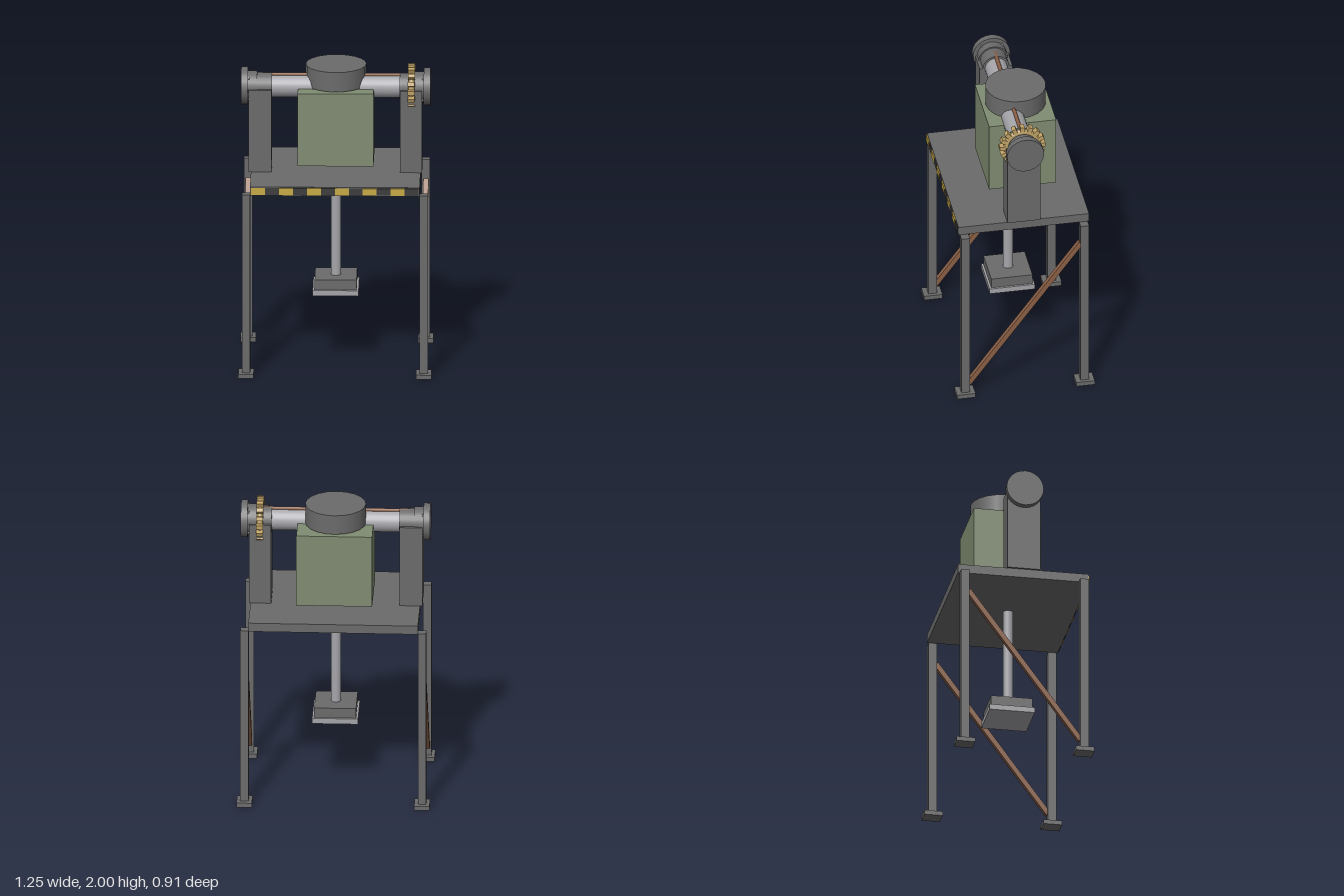
import * as THREE from 'three';

const mat = (name, color) => {
  const m = new THREE.MeshStandardMaterial({ color });
  m.name = name;
  return m;
};

export function createModel() {
  const iron = mat('dark iron', 0x6b6b6b);
  const steel = mat('light steel', 0xa6a6ab);
  const green = mat('painted green', 0x808c72);
  const copper = mat('copper brown', 0x8c6046);
  const brass = mat('brass', 0xbfa266);
  const yellow = mat('hazard yellow', 0xc9aa45);
  const black = mat('hazard black', 0x3c3c3c);

  const model = new THREE.Group();
  model.name = 'pressMachine';

  const add = (name, geometry, material, x, y, z, parent = model) => {
    const mesh = new THREE.Mesh(geometry, material);
    mesh.name = name;
    mesh.position.set(x, y, z);
    parent.add(mesh);
    return mesh;
  };
  // Box given by its limits on each axis
  const box = (name, material, [x0, x1], [y0, y1], [z0, z1]) =>
    add(name, new THREE.BoxGeometry(x1 - x0, y1 - y0, z1 - z0), material,
      (x0 + x1) / 2, (y0 + y1) / 2, (z0 + z1) / 2);
  // Cylinder lying along x
  const rod = (name, material, x0, x1, r, y, z, sides = 24) =>
    add(name, new THREE.CylinderGeometry(r, r, Math.abs(x1 - x0), sides).rotateZ(Math.PI / 2),
      material, (x0 + x1) / 2, y, z);

  const axisY = 1.85;

  // Legs, feet and diagonal side braces
  for (const sx of [-1, 1]) {
    const x = sx * 0.576;
    for (const sz of [-1, 1]) {
      const z = sz * 0.393;
      box('leg', iron, [x - 0.027, x + 0.027], [0.03, 1.238], [z - 0.028, z + 0.028]);
      box('foot', iron, [x - 0.05, x + 0.05], [0, 0.03], [z - 0.061, z + 0.061]);
    }
    const dy = 1.01, dz = -0.74;
    const brace = add('sideBrace', new THREE.BoxGeometry(0.033, Math.hypot(dy, dz), 0.033),
      copper, x, 0.595, 0);
    brace.rotation.x = Math.atan2(dz, dy);
  }

  // Deck with a hazard strip along its front edge
  box('deck', iron, [-0.55, 0.55], [1.238, 1.297], [-0.431, 0.43]);
  for (let i = 0; i < 12; i++) {
    const x = -0.543 + i * 0.0905;
    box('hazardStripe', i % 2 ? black : yellow, [x, x + 0.0905], [1.244, 1.291],
      [0.43, i % 2 ? 0.436 : 0.438]);
  }

  // Ram below the deck
  add('ramRod', new THREE.CylinderGeometry(0.034, 0.034, 0.69, 16), steel, 0, 0.9, 0);
  box('ramHead', iron, [-0.136, 0.136], [0.505, 0.573], [-0.136, 0.136]);
  box('ramPlate', steel, [-0.149, 0.149], [0.468, 0.505], [-0.149, 0.149]);

  // Main housing and round cap
  box('housing', green, [-0.246, 0.246], [1.358, 1.85], [-0.271, 0.171]);
  add('cap', new THREE.CylinderGeometry(0.197, 0.197, 0.132, 20), iron, 0, 1.921, -0.05);

  // Cross shaft with an oil pipe along its top
  rod('shaft', steel, -0.45, 0.45, 0.073, axisY, 0);
  rod('oilPipe', copper, -0.477, 0.477, 0.013, 1.926, -0.003, 8);

  // Pillars, bearings, end discs and bolts
  for (const s of [-1, 1]) {
    const [a, b] = s < 0 ? [-0.565, -0.416] : [0.416, 0.56];
    box('pillar', iron, [a, b], [1.297, axisY], [-0.108, 0.108]);
    rod('bearing', iron, s * 0.414, s * 0.515, 0.087, axisY, 0);
    rod('bearingCollar', iron, s * 0.51, s * 0.572, 0.096, axisY, 0);
    rod('endDisc', iron, s * 0.57, s * 0.614, 0.122, axisY, 0);
    for (const by of [-1, 1]) for (const bz of [-1, 1])
      rod('bolt', steel, s * 0.56, s * 0.572, 0.008, axisY + by * 0.072, bz * 0.068, 6);
  }

  // Toothed gear around the left bearing
  const gear = new THREE.Group();
  gear.name = 'gear';
  gear.position.set(0.49, axisY, 0);
  model.add(gear);
  add('gearRing', new THREE.TorusGeometry(0.104, 0.02, 8, 32).rotateY(Math.PI / 2), brass, 0, 0, 0, gear);
  for (let i = 0; i < 16; i++) {
    const a = (i / 16) * Math.PI * 2;
    const tooth = add('gearTooth', new THREE.BoxGeometry(0.045, 0.036, 0.028), brass,
      0, Math.cos(a) * 0.132, Math.sin(a) * 0.132, gear);
    tooth.rotation.x = a;
  }

  return model;
}
